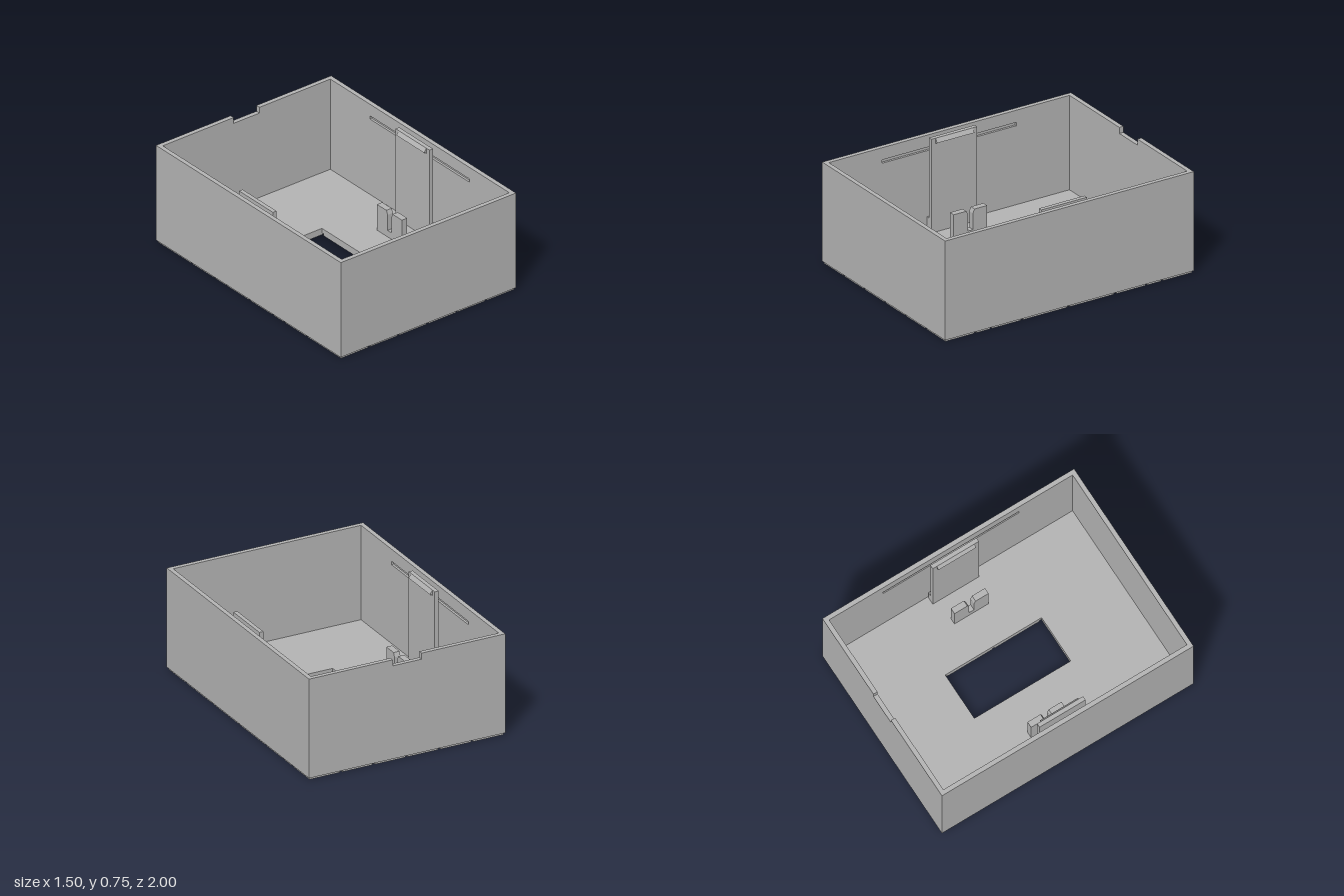
import * as THREE from 'three';

const HX = 0.75, HZ = 1, WALL = 0.0325, BASE = 0.015, FLOOR = 0.05, TOP = 0.75;
const HOLE = { x: 0.183, z: 0.383 };

const grey = new THREE.MeshStandardMaterial({ color: 0xb2b2b2 });
grey.name = 'grey plastic';

function add(parent, name, geometry) {
  const mesh = new THREE.Mesh(geometry, grey);
  mesh.name = name;
  parent.add(mesh);
  return mesh;
}

// box given by its minimum and maximum corners
function box(x0, x1, y0, y1, z0, z1) {
  return new THREE.BoxGeometry(x1 - x0, y1 - y0, z1 - z0)
    .translate((x0 + x1) / 2, (y0 + y1) / 2, (z0 + z1) / 2);
}

const polygon = (pts) => new THREE.Shape(pts.map(([a, b]) => new THREE.Vector2(a, b)));
const rect = (a0, a1, b0, b1) => polygon([[a0, b0], [a1, b0], [a1, b1], [a0, b1]]);
const extrude = (shape, depth) => new THREE.ExtrudeGeometry(shape, { depth, bevelEnabled: false });

// remove the hole rectangle from a tile, leaving up to four pieces
function cutHole([x0, x1, z0, z1]) {
  const { x, z } = HOLE;
  if (x1 <= -x || x0 >= x || z1 <= -z || z0 >= z) return [[x0, x1, z0, z1]];
  const za = Math.max(z0, -z), zb = Math.min(z1, z);
  return [[x0, x1, z0, za], [x0, x1, zb, z1], [x0, -x, za, zb], [x, x1, za, zb]]
    .filter(([a, b, c, d]) => b - a > 0.002 && d - c > 0.002);
}

function makeTiles() {
  const tiles = new THREE.Group();
  tiles.name = 'undersideTiles';
  const u = 0.125, gap = 0.009;
  // one paving block, 4 x 8 units: x, z, width, depth
  const block = [[0, 0, 2, 3], [2, 0, 2, 2], [2, 2, 2, 1], [0, 3, 4, 2], [0, 5, 2, 1], [0, 6, 2, 2], [2, 5, 2, 3]];
  for (let i = 0; i < 3; i++) for (let j = 0; j < 2; j++) {
    for (const [x, z, w, d] of block) {
      const bx = (i + j) % 2 ? 4 - x - w : x;
      const bz = i % 2 ? 8 - z - d : z;
      const x0 = -HX + (i * 4 + bx) * u, z0 = -HZ + (j * 8 + bz) * u;
      const tile = [x0 + gap, x0 + w * u - gap, z0 + gap, z0 + d * u - gap];
      for (const [a, b, c, e] of cutHole(tile)) add(tiles, 'tile', box(a, b, 0, BASE, c, e));
    }
  }
  return tiles;
}

// parts on the +x side: grooved wall, tall snap clip and split post
function makeSide(name) {
  const side = new THREE.Group();
  side.name = name;
  const skin = 0.016;
  add(side, 'sideWallOuter', box(HX - skin, HX, BASE, TOP, -HZ, HZ));
  const inner = rect(-HZ, HZ, BASE, TOP);
  inner.holes.push(rect(-0.54, 0.54, 0.635, 0.66));
  add(side, 'sideWallInner', extrude(inner, WALL - skin).rotateY(-Math.PI / 2).translate(HX - skin, 0, 0));

  add(side, 'clipPlate', box(0.655, 0.685, FLOOR, 0.745, -0.183, 0.183));
  add(side, 'clipFoot', box(0.685, 0.71, FLOOR, 0.15, -0.183, 0.183));
  const barb = polygon([[0.656, 0.705], [0.656, 0.745], [0.636, 0.715]]);
  add(side, 'clipBarb', extrude(barb, 0.3).translate(0, 0, -0.15));

  const post = polygon([[-0.135, FLOOR], [0.135, FLOOR], [0.135, 0.25], [0.033, 0.25],
    [0.02, 0.22], [0.02, 0.1], [-0.02, 0.1], [-0.02, 0.22], [-0.033, 0.25], [-0.135, 0.25]]);
  add(side, 'splitPost', extrude(post, 0.045).rotateY(-Math.PI / 2).translate(0.503, 0, 0));
  return side;
}

export function createModel() {
  const model = new THREE.Group();
  model.name = 'openBox';

  // floor with a rectangular opening
  const floor = rect(-HX + WALL, HX - WALL, -HZ + WALL, HZ - WALL);
  floor.holes.push(rect(-HOLE.x, HOLE.x, -HOLE.z, HOLE.z));
  add(model, 'floor', extrude(floor, FLOOR - BASE).rotateX(-Math.PI / 2).translate(0, BASE, 0));

  // front wall, and back wall with a notch in its rim
  const w = HX - WALL;
  add(model, 'frontWall', box(-w, w, BASE, TOP, HZ - WALL, HZ));
  const back = polygon([[-w, BASE], [w, BASE], [w, TOP], [0.11, TOP], [0.11, TOP - 0.045],
    [-0.11, TOP - 0.045], [-0.11, TOP], [-w, TOP]]);
  add(model, 'backWall', extrude(back, WALL).translate(0, 0, -HZ));

  // the two sides are the same, turned half round
  model.add(makeSide('leftSide'));
  const right = makeSide('rightSide');
  right.rotation.y = Math.PI;
  model.add(right);

  model.add(makeTiles());
  return model;
}
